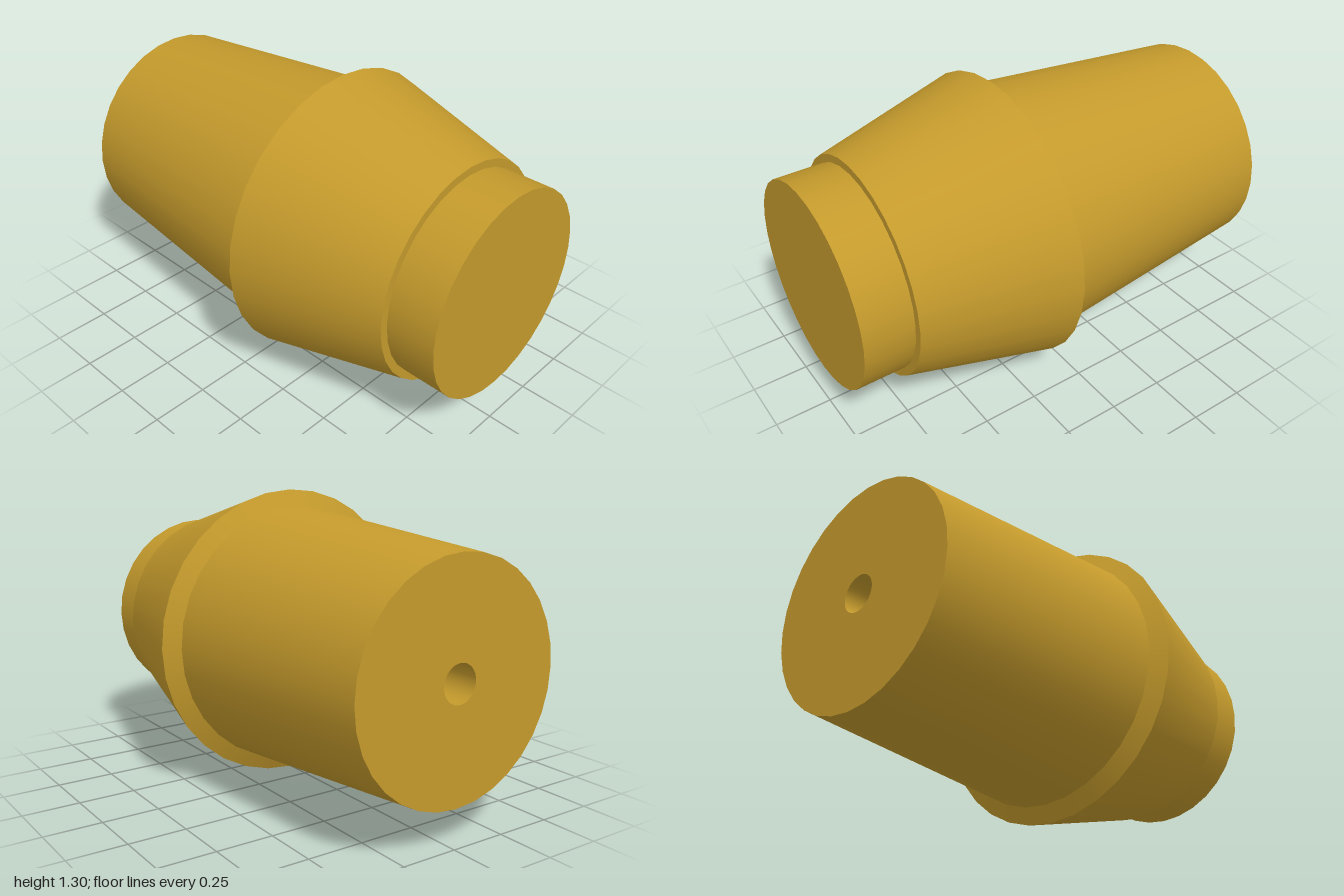
import * as THREE from 'three';

const SIDES = 32;
const CENTRE_Y = 0.652;

export function createModel() {
  const model = new THREE.Group();
  model.name = 'turnedPlug';
  const material = new THREE.MeshStandardMaterial({ color: 0xc49a2c });

  // One turned section from [radius, z] to [radius, z]; separate sections keep the edges sharp
  const section = (name, from, to) => {
    const profile = [from, to].map(([r, z]) => new THREE.Vector2(r, z));
    const geometry = new THREE.LatheGeometry(profile, SIDES).rotateX(Math.PI / 2);
    const mesh = new THREE.Mesh(geometry, material);
    mesh.name = name;
    mesh.position.y = CENTRE_Y;
    model.add(mesh);
  };

  // Profile from the bottom of the blind hole, round the back and forward to the front face
  const profile = [
    [0, -0.5], [0.08, -0.5], [0.08, -1], [0.487, -1], [0.58, 0.08],
    [0.652, 0.12], [0.487, 0.78], [0.452, 0.78], [0.452, 1], [0, 1],
  ];
  const names = [
    'holeFloor', 'holeWall', 'backFace', 'rearTaper', 'collarChamfer',
    'frontTaper', 'shoulder', 'frontNeck', 'frontFace',
  ];
  names.forEach((name, i) => section(name, profile[i], profile[i + 1]));

  return model;
}
